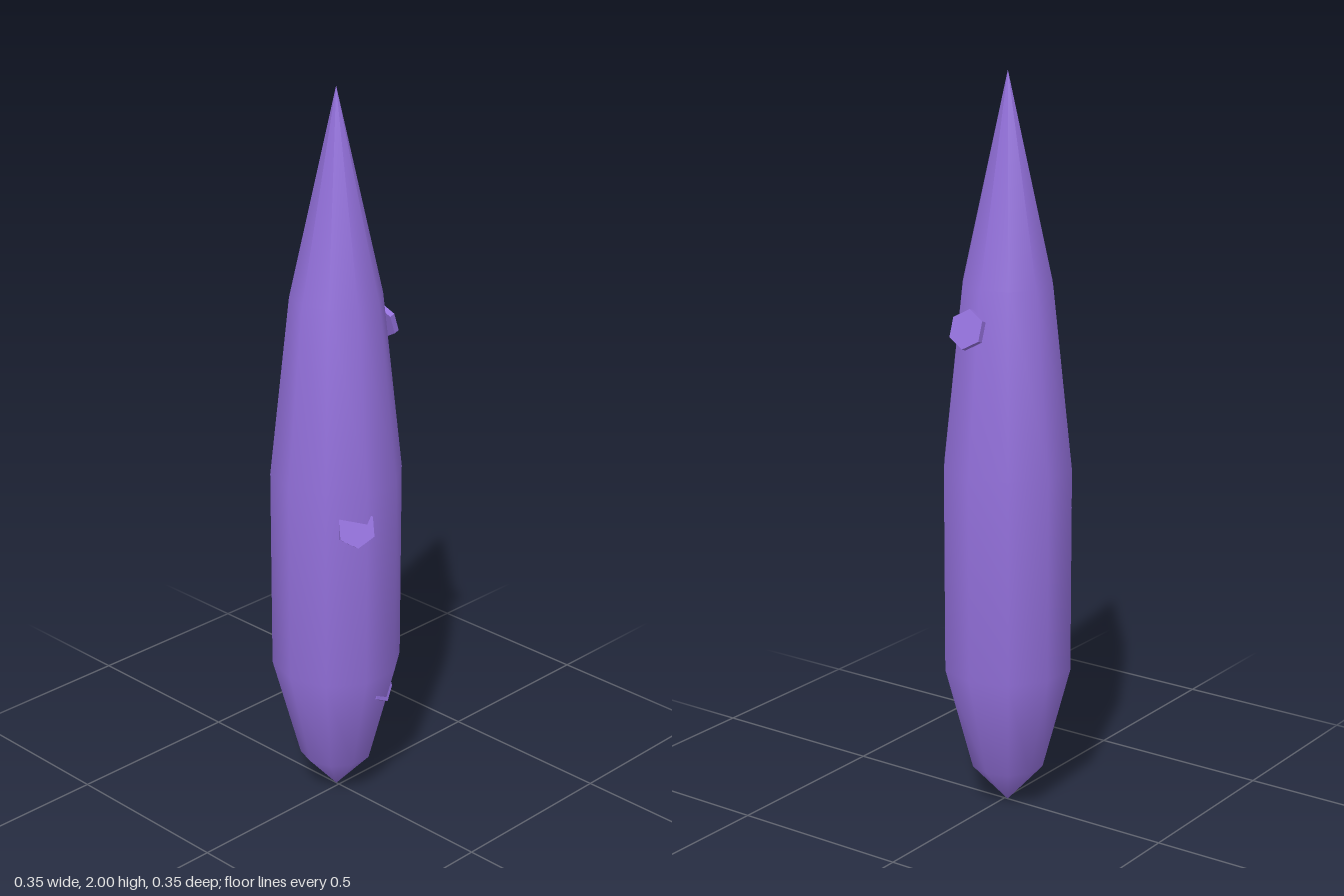
import * as THREE from 'three';

export function createModel() {
  const model = new THREE.Group();
  model.name = 'crystalShard';
  const purple = new THREE.MeshStandardMaterial({ color: 0x9370db });
  purple.name = 'purple';

  // Ten-sided smooth spindle, pointed at both ends, with corners on the x axis
  const profile = [[0, 0], [0.1, 0.11], [0.177, 0.4], [0.177, 0.96], [0.123, 1.45], [0, 2]]
    .map(([r, y]) => new THREE.Vector2(r, y));
  const body = new THREE.Mesh(new THREE.LatheGeometry(profile, 10, Math.PI / 2), purple);
  body.name = 'body';
  body.position.z = -0.01;
  model.add(body);

  // Hexagonal scale: flat-faced, point downward, leaning out at the bottom
  const scaleGeometry = new THREE.CylinderGeometry(0.053, 0.053, 0.016, 6).toNonIndexed();
  scaleGeometry.computeVertexNormals();
  scaleGeometry.rotateX(THREE.MathUtils.degToRad(71));

  // x, y, z, and the horizontal direction each scale faces
  const scales = [
    ['upperLeftScale', 0.15, 1.35, 0.01, 1, 0],
    ['frontScale', -0.077, 0.862, 0.139, -0.51, 0.86],
    ['backScale', -0.086, 0.885, -0.129, -0.588, -0.809],
    ['lowerFrontScale', 0.041, 0.348, 0.116, 0.309, 0.951],
  ];
  for (const [name, x, y, z, dx, dz] of scales) {
    const scale = new THREE.Mesh(scaleGeometry, purple);
    scale.name = name;
    scale.position.set(x, y, z);
    scale.rotation.y = Math.atan2(dx, dz);
    model.add(scale);
  }
  return model;
}
